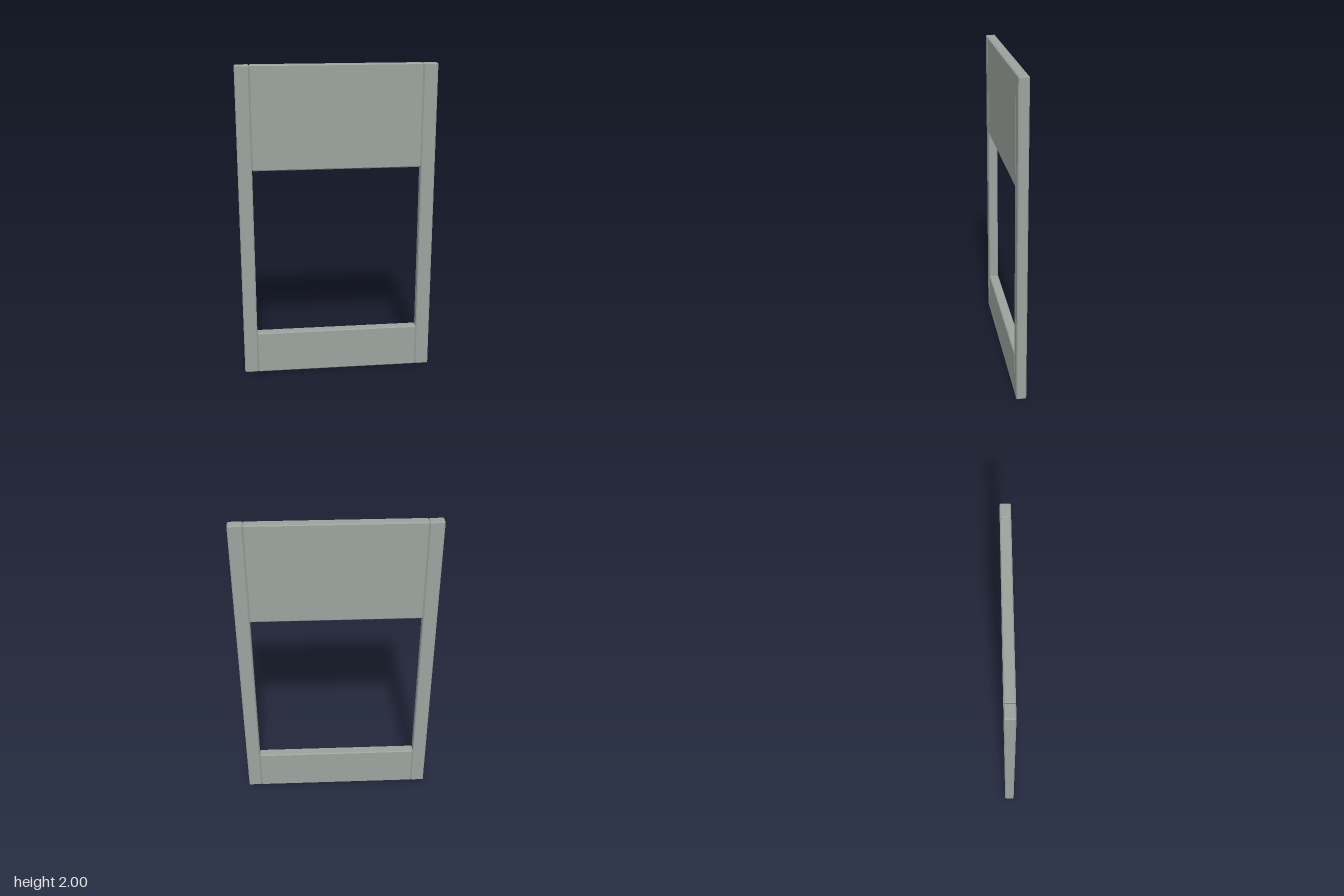
import * as THREE from 'three';
import { ConvexGeometry } from 'three/addons/geometries/ConvexGeometry.js';

const DEPTH = 0.062;
const HEIGHT = 2;
const HALF_WIDTH = 0.612;
const INNER = 0.524; // where the uprights meet the panels
const CHAMFER = 0.006;

// Box with flat chamfered edges: three points at each corner
function chamferedBox(width, height, depth) {
  const points = [];
  const x = width / 2, y = height / 2, z = depth / 2, c = CHAMFER;
  for (const sx of [-1, 1]) for (const sy of [-1, 1]) for (const sz of [-1, 1]) {
    points.push(
      new THREE.Vector3(sx * x, sy * (y - c), sz * (z - c)),
      new THREE.Vector3(sx * (x - c), sy * y, sz * (z - c)),
      new THREE.Vector3(sx * (x - c), sy * (y - c), sz * z),
    );
  }
  return new ConvexGeometry(points);
}

export function createModel() {
  const group = new THREE.Group();
  group.name = 'panelFrame';
  const material = new THREE.MeshStandardMaterial({ color: 0x9ca39d });

  // A chamfered board, given by its extents in x and y
  function board(name, x0, x1, y0, y1) {
    const mesh = new THREE.Mesh(chamferedBox(x1 - x0, y1 - y0, DEPTH), material);
    mesh.name = name;
    mesh.position.set((x0 + x1) / 2, (y0 + y1) / 2, 0);
    group.add(mesh);
  }

  // Full-height uprights
  board('leftUpright', INNER, HALF_WIDTH, 0, HEIGHT);
  board('rightUpright', -HALF_WIDTH, -INNER, 0, HEIGHT);

  // Panels above and below the opening
  board('upperPanel', -INNER, INNER, 1.36, HEIGHT);
  board('lowerPanel', -INNER, INNER, 0, 0.277);

  return group;
}
